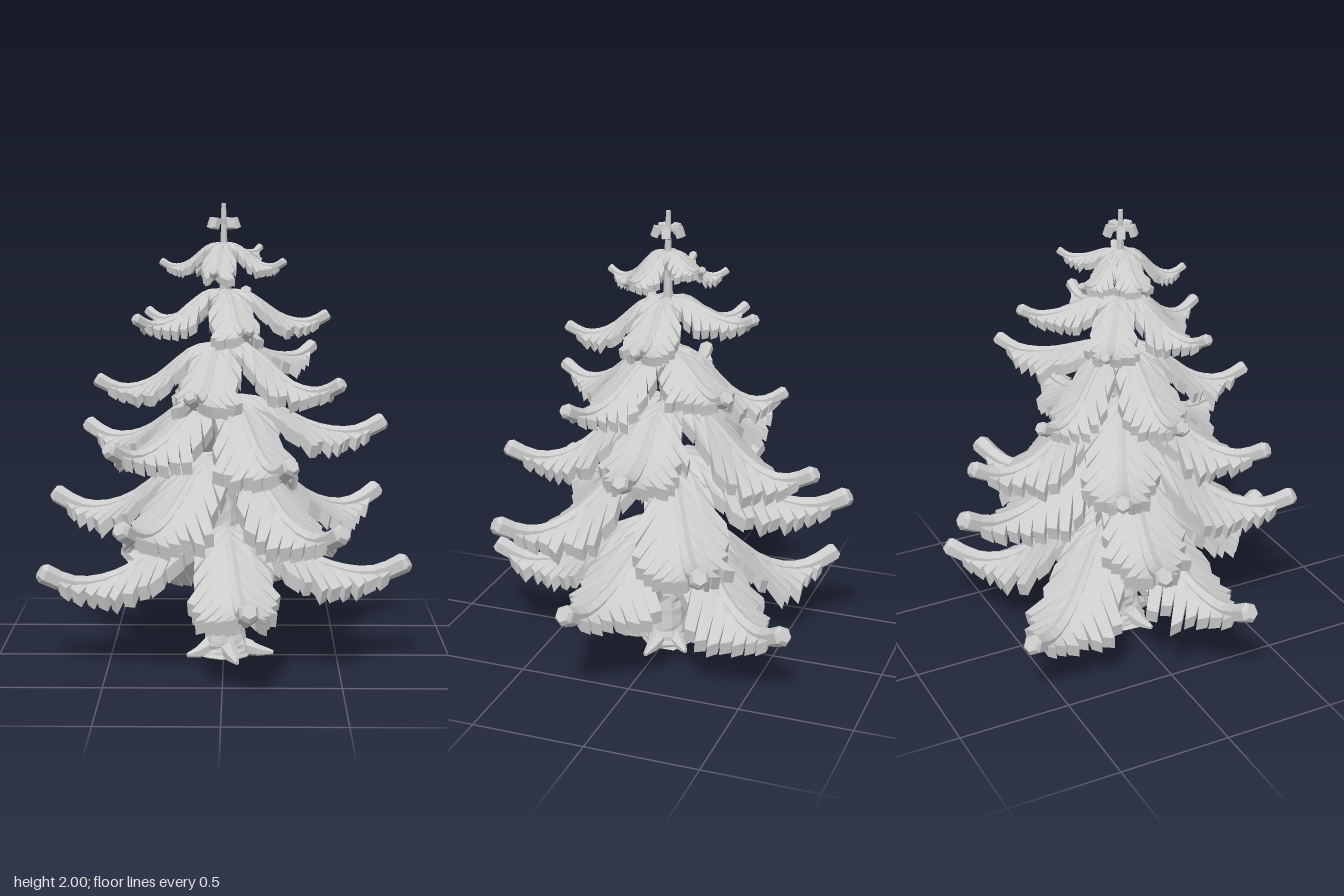
import * as THREE from 'three';

const material = new THREE.MeshStandardMaterial({ color: 0xcccccc, flatShading: true });
const V = (x, y, z) => new THREE.Vector3(x, y, z);

// Seeded noise in -1..1
const noise = (a, b = 0) => {
  const n = Math.sin(a * 127.1 + b * 311.7) * 43758.5453;
  return (n - Math.floor(n)) * 2 - 1;
};

// Collects faces into a flat-shaded mesh
class Faces {
  constructor() { this.p = []; }
  tri(a, b, c) { for (const v of [a, b, c]) this.p.push(v.x, v.y, v.z); }
  quad(a, b, c, d, flip = false) {
    if (flip) [b, d] = [d, b];
    this.tri(a, b, c);
    this.tri(a, c, d);
  }
  // Skin a stack of closed rings and cap both ends
  loft(rings) {
    const n = rings[0].length;
    const mid = r => r.reduce((m, v) => m.add(v), V(0, 0, 0)).divideScalar(n);
    const first = rings[0], last = rings[rings.length - 1];
    const c0 = mid(first), c1 = mid(last);
    for (let j = 0; j < n; j++) {
      const k = (j + 1) % n;
      for (let i = 0; i + 1 < rings.length; i++)
        this.quad(rings[i][j], rings[i][k], rings[i + 1][k], rings[i + 1][j]);
      this.tri(c0, first[k], first[j]);
      this.tri(c1, last[j], last[k]);
    }
  }
  mesh(name) {
    const g = new THREE.BufferGeometry();
    g.setAttribute('position', new THREE.Float32BufferAttribute(this.p, 3));
    g.computeVertexNormals();
    const m = new THREE.Mesh(g, material);
    m.name = name;
    return m;
  }
}

// Linear interpolation through [position, value] pairs
function ramp(table, s) {
  for (let i = 1; i < table.length; i++) {
    const [s0, v0] = table[i - 1], [s1, v1] = table[i];
    if (s <= s1) return v0 + (v1 - v0) * Math.max(0, (s - s0) / (s1 - s0));
  }
  return table[table.length - 1][1];
}

// Tube of given radius along a list of points in the xy plane
function ribRings(points, radii, sides) {
  return points.map((p, i) => {
    const t = points[Math.min(i + 1, points.length - 1)].clone()
      .sub(points[Math.max(i - 1, 0)]).normalize();
    return Array.from({ length: sides }, (_, j) => {
      const a = j / sides * Math.PI * 2, c = Math.cos(a) * radii[i];
      return V(p.x - t.y * c, p.y + t.x * c, p.z + Math.sin(a) * radii[i]);
    });
  });
}

const DROP = [[0, 0], [0.12, 0.015], [0.23, 0.09], [0.32, 0.27], [0.42, 0.52], [0.55, 0.81], [0.7, 0.98], [0.82, 1]];
const WIDTH = [[0, 0.4], [0.15, 0.8], [0.3, 1], [0.42, 0.94], [0.55, 0.73], [0.72, 0.43], [0.9, 0.18]];

// Drooping bough: a hexagonal rib with slit, thick side blades
function makeBough(top, x, tipY, z, seed) {
  const R = Math.hypot(x, z), low = tipY - 0.06 * R - 0.005, size = R / 0.8;
  const f = new Faces();
  const spine = new THREE.CatmullRomCurve3([
    ...DROP.map(([s, d]) => V(s * R, top + (low - top) * d, 0)),
    V(0.92 * R, low + (tipY - low) * 0.45, 0), V(R * 0.99, tipY, 0)]).getPoints(40);
  const ridge = spine.map(p => [p.x / R, p.y]);

  // Rib, sunk into the blades near the trunk and thickest at its domed tip
  const pts = [], radii = [];
  for (let i = 0; i <= 12; i++) {
    const s = 0.03 + 0.96 * i / 12, r = 0.004 + size * (0.01 + 0.031 * Math.pow(s, 1.2));
    pts.push(V(s * R, ramp(ridge, s) - r * 0.6 * (1 - s), 0));
    radii.push(r);
  }
  pts.push(V(R * 1.01, tipY + 0.01 * size, 0));
  radii.push(radii[12] * 0.7);
  f.loft(ribRings(pts, radii, 6));

  // Blades sweep outward and forward, with gaps only in their outer half
  const n = Math.round(5 + R * 6.5), wMax = 0.228 * R + 0.01, thick = 0.013 + 0.042 * size;
  for (const side of [-1, 1]) {
    for (let i = 0; i < n; i++) {
      const s0 = 0.04 + 0.86 * i / n, s1 = 0.04 + 0.86 * (i + 1) / n;
      const jag = 1 + 0.15 * noise(i + side * 40, seed);
      const gap = (s1 - s0) * (0.09 + 0.07 * noise(i + side * 9, seed + 3));
      const T = [], B = [];
      [s0, s1].forEach((s, j) => {
        const w = wMax * ramp(WIDTH, s);
        T[j] = [0, 0.5, 1].map(k => {
          const out = w * (k === 1 ? jag * (j ? 0.95 : 1.06) : k);
          const along = Math.min(0.97, s + 0.75 * out / R + (k === 1 ? (j ? -gap : gap) : 0));
          const y = ramp(ridge, along) - out * (0.19 + 0.18 * k) + 0.01 * size;
          return V(along * R, y, side * out);
        });
        B[j] = T[j].map((p, k) => V(p.x - 0.006 * k * size, p.y - thick * (0.5 + 0.3 * k), p.z * 0.97));
      });
      const flip = side < 0;
      for (const k of [0, 1]) {
        f.quad(T[0][k], T[0][k + 1], T[1][k + 1], T[1][k], flip);
        f.quad(B[0][k], B[1][k], B[1][k + 1], B[0][k + 1], flip);
        f.quad(T[1][k], T[1][k + 1], B[1][k + 1], B[1][k], flip);
        f.quad(T[0][k + 1], T[0][k], B[0][k], B[0][k + 1], flip);
      }
      f.quad(T[1][2], T[0][2], B[0][2], B[1][2], flip);
    }
  }
  const m = f.mesh('bough');
  m.rotation.y = -Math.atan2(z, x);
  return m;
}

// Tapered trunk with rough bark near the ground
function makeTrunk() {
  const profile = [[0.01, 0.12], [0.04, 0.1], [0.1, 0.087], [0.2, 0.08], [0.35, 0.072], [0.55, 0.063],
    [0.8, 0.048], [1.1, 0.038], [1.4, 0.028], [1.7, 0.018], [2, 0.01]];
  const f = new Faces(), rings = [], sides = 11;
  for (let i = 0; i <= 44; i++) {
    const y = 0.01 + 1.99 * Math.pow(i / 44, 1.5), r = ramp(profile, y);
    const rough = y < 0.7 ? 0.1 : 0.06;
    rings.push(Array.from({ length: sides }, (_, j) => {
      const a = j / sides * Math.PI * 2, q = r * (1 + rough * noise(i, j));
      return V(0.01 * (1 - y / 2) + q * Math.cos(a), y, -q * Math.sin(a));
    }));
  }
  f.loft(rings);
  return f.mesh('trunk');
}

// Pointed root spreading over the ground
function makeRoot(x, z) {
  const L = Math.hypot(x, z), f = new Faces();
  const pts = [V(0.03, 0.075, 0), V(0.08, 0.048, 0), V(L * 0.72, 0.03, 0), V(L, 0.024, 0)];
  const rings = ribRings(pts, [0.05, 0.042, 0.026, 0.01], 6);
  for (const ring of rings) for (const p of ring) p.y = Math.max(p.y, 0);
  f.loft(rings);
  const m = f.mesh('root');
  m.rotation.y = -Math.atan2(z, x);
  return m;
}

// Each tier: height at the trunk, then bough tips as [x, y, z]
const TIERS = [
  [0.6, [[0.79, 0.465, 0.17], [0.11, 0.4, 0.79], [-0.78, 0.425, 0.22], [-0.47, 0.34, -0.65], [0.43, 0.345, -0.67]]],
  [0.91, [[0.7, 0.685, -0.39], [0.49, 0.68, 0.61], [-0.41, 0.7, 0.64], [-0.76, 0.7, -0.18], [-0.1, 0.785, -0.79]]],
  [1.17, [[0.7, 1.05, -0.05], [0.28, 0.96, 0.64], [-0.47, 1.0, 0.46], [-0.62, 1.0, -0.3], [0.05, 0.93, -0.68]]],
  [1.4, [[0.5, 1.25, 0.27], [-0.13, 1.23, 0.54], [-0.55, 1.24, 0.01], [-0.2, 1.19, -0.47], [0.4, 1.35, -0.4]]],
  [1.63, [[0.45, 1.52, -0.02], [0.11, 1.49, 0.42], [-0.37, 1.52, 0.22], [-0.34, 1.52, -0.24], [0.1, 1.6, -0.42]]],
  [1.83, [[0.26, 1.755, 0.1], [-0.04, 1.72, 0.28], [-0.27, 1.75, -0.02], [-0.1, 1.74, -0.23], [0.16, 1.805, -0.21]]],
];

export function createModel() {
  const tree = new THREE.Group();
  tree.name = 'coniferTree';
  tree.add(makeTrunk());

  for (const [x, z] of [[0.22, 0.03], [0.06, 0.2], [-0.16, 0.08], [-0.09, -0.13], [0.13, -0.13]])
    tree.add(makeRoot(x, z));

  TIERS.forEach(([top, tips], t) => {
    const tier = new THREE.Group();
    tier.name = 'boughTier' + (t + 1);
    tips.forEach(([x, y, z], i) => tier.add(makeBough(top, x, y, z, t * 5 + i)));
    tree.add(tier);
  });

  // Crown: short stubby sprigs below the leader
  const crown = new THREE.Group();
  crown.name = 'crown';
  for (let i = 0; i < 5; i++) {
    const sprig = new THREE.Group();
    sprig.name = 'crownSprig';
    const stem = new THREE.Mesh(new THREE.BoxGeometry(0.055, 0.018, 0.022), material);
    stem.position.set(0.028, 1.925, 0);
    stem.rotation.z = 0.12;
    const bud = new THREE.Mesh(new THREE.BoxGeometry(0.026, 0.045, 0.036), material);
    bud.position.set(0.053, 1.914, 0);
    bud.rotation.z = 0.35;
    stem.name = 'sprigStem';
    bud.name = 'sprigBud';
    sprig.add(stem, bud);
    sprig.rotation.y = i / 5 * Math.PI * 2 + 0.2;
    crown.add(sprig);
  }
  tree.add(crown);
  return tree;
}
